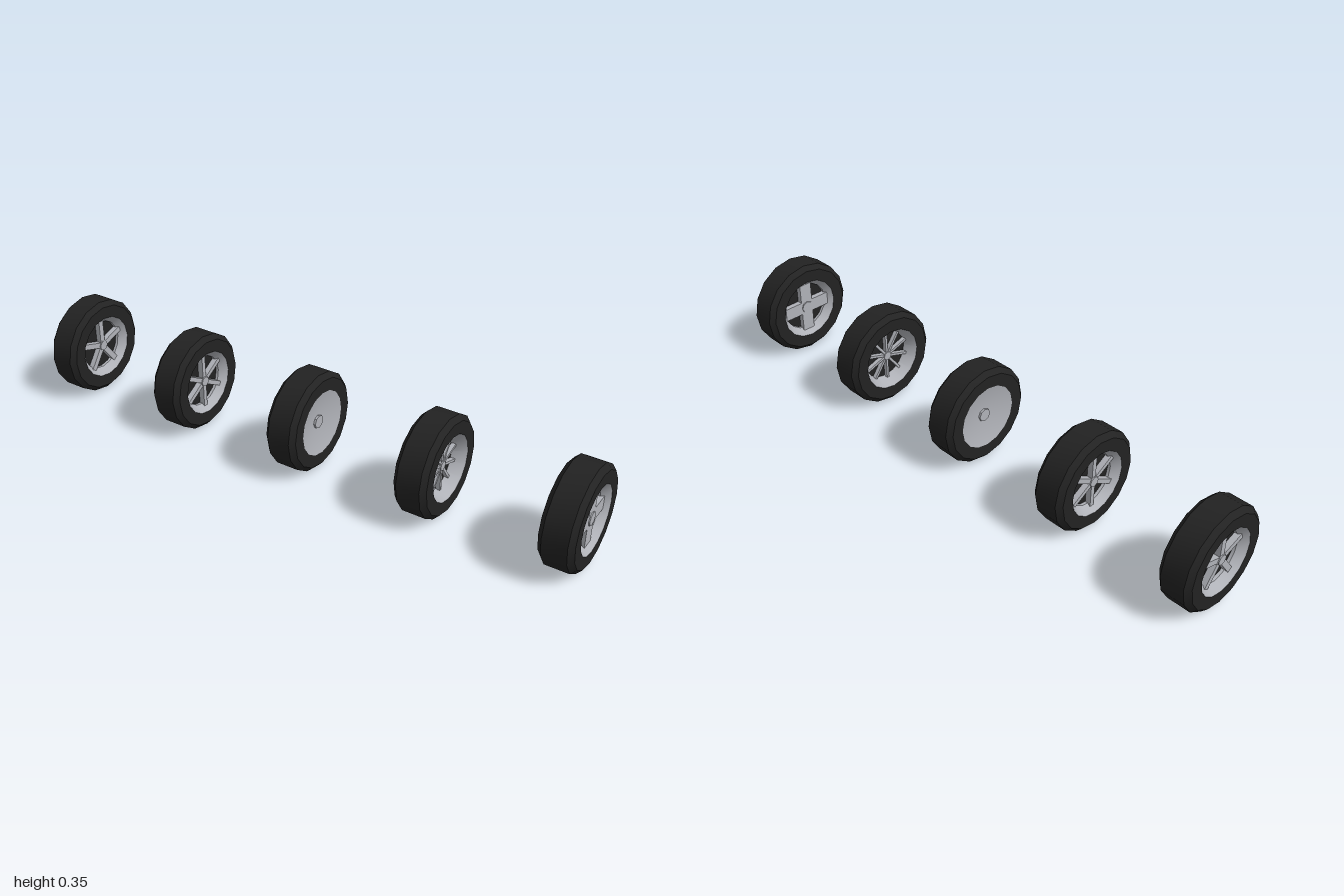
import * as THREE from 'three';
import { toCreasedNormals } from 'three/addons/utils/BufferGeometryUtils.js';

const HALF = 0.0565, RADIUS = 0.173, RIM = 0.113;

export function createModel() {
  const group = new THREE.Group();
  group.name = 'wheelSet';
  const rubber = new THREE.MeshStandardMaterial({ name: 'black rubber', color: 0x222222 });
  const metal = new THREE.MeshStandardMaterial({ name: 'grey metal', color: 0xb0b2b8 });

  // Turned part with its axle along x; profile points are [radius, x]
  function turned(name, profile, material, sides = 16) {
    const lathe = new THREE.LatheGeometry(profile.map(([r, x]) => new THREE.Vector2(r, x)), sides);
    lathe.rotateZ(-Math.PI / 2);
    const mesh = new THREE.Mesh(toCreasedNormals(lathe, 0.5), material);
    mesh.name = name;
    return mesh;
  }
  const drum = (name, r, half, material, sides) =>
    turned(name, [[0, -half], [r, -half], [r, half], [0, half]], material, sides);

  // Bevelled tyre, open at the bore
  const makeTyre = () => turned('tyre', [
    [RIM, -HALF], [0.156, -HALF], [RADIUS, -0.04],
    [RADIUS, 0.04], [0.156, HALF], [RIM, HALF], [RIM, -HALF],
  ], rubber);

  // Rim that slopes inward from both faces
  const makeRim = (inner, depth) => turned('rim', [
    [inner, -depth], [RIM, -HALF], [RIM, HALF], [inner, depth], [inner, -depth],
  ], metal);

  // Ring of spokes, the first one pointing up
  function makeSpokes(count, width, length, half) {
    const spokes = new THREE.Group();
    spokes.name = 'spokes';
    const geometry = new THREE.BoxGeometry(half * 2, length, width);
    geometry.translate(0, length / 2, 0);
    for (let i = 0; i < count; i++) {
      const spoke = new THREE.Mesh(geometry, metal);
      spoke.name = 'spoke';
      spoke.rotation.x = (i / count) * Math.PI * 2;
      spokes.add(spoke);
    }
    return spokes;
  }

  // Five wheel designs from right to left
  const designs = [
    { name: 'fiveSpokeWheel', count: 5, width: 0.02, length: 0.097, face: 0.04, hub: 0.018 },
    { name: 'sixSpokeWheel', count: 6, width: 0.016, length: 0.097, face: 0.04, hub: 0.018 },
    { name: 'discWheel' },
    { name: 'tenSpokeWheel', count: 10, width: 0.009, length: 0.092, face: 0.026, hub: 0.016, deep: true },
    { name: 'crossWheel', count: 4, width: 0.048, length: 0.095, face: 0.04, hub: 0.023 },
  ];

  designs.forEach((d, i) => {
    const wheel = new THREE.Group();
    wheel.name = d.name;
    wheel.position.set((i - 2) * 0.4717, RADIUS, 0);
    wheel.add(makeTyre());
    if (d.count) {
      wheel.add(makeRim(0.09, d.deep ? 0.012 : 0.03));
      wheel.add(drum('backing', 0.1, d.deep ? 0.011 : 0.02, rubber, 16));
      wheel.add(makeSpokes(d.count, d.width, d.length, d.face));
      wheel.add(drum('hub', d.hub, d.face + 0.004, metal, 8));
    } else {
      // Solid dish with a raised cap
      wheel.add(turned('dish', [[0, -0.032], [RIM, -HALF], [RIM, HALF], [0, 0.032]], metal));
      wheel.add(drum('hub', 0.023, 0.044, metal, 8));
    }
    group.add(wheel);
  });
  return group;
}
